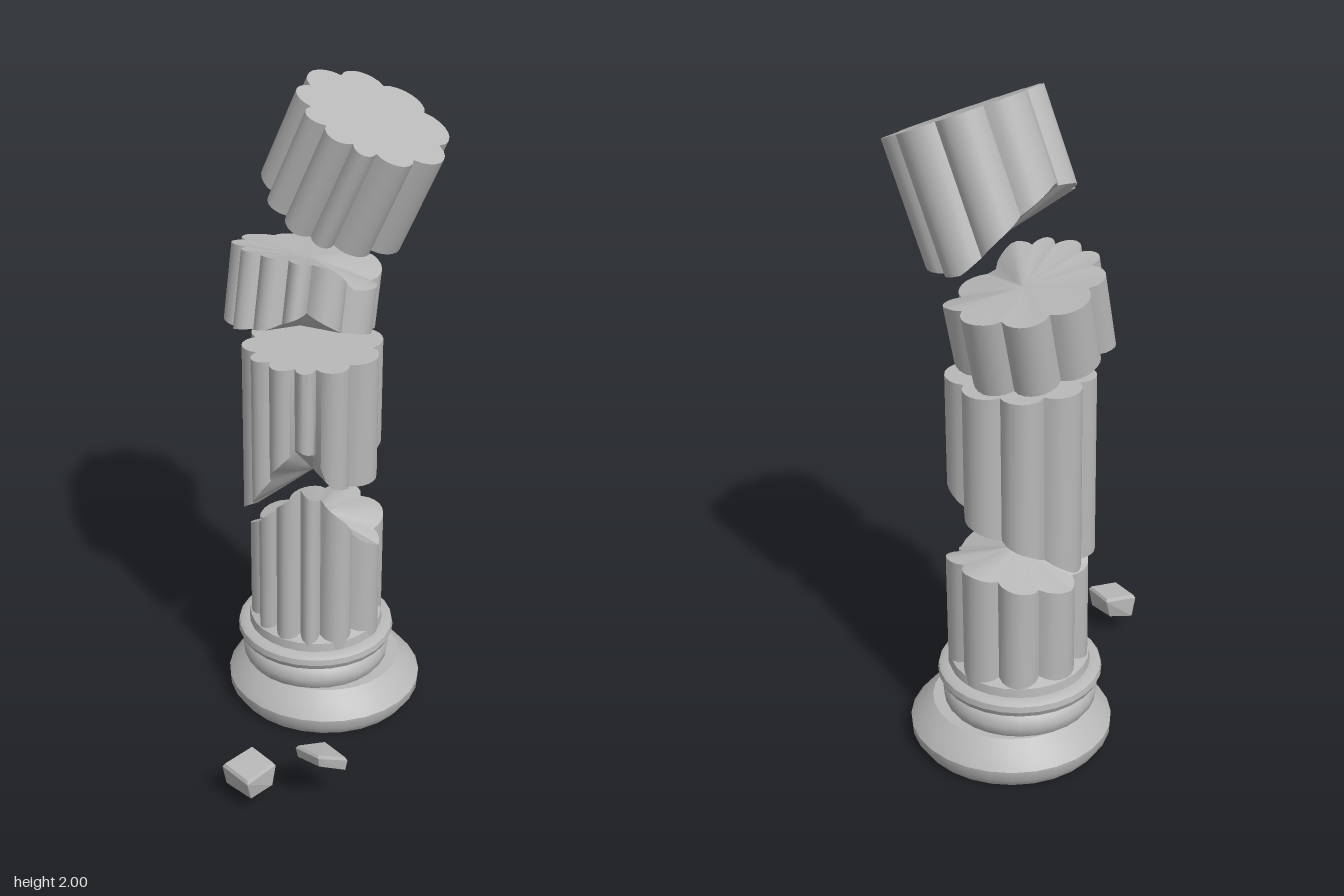
import * as THREE from 'three';
import { toCreasedNormals } from 'three/addons/utils/BufferGeometryUtils.js';
import { ConvexGeometry } from 'three/addons/geometries/ConvexGeometry.js';

// Grooves around the column in degrees; 0 is the front, 90 is +x
const GROOVES = [10, 30, 64, 109, 157, 200, 239, 284, 318, 343];
const PER_LOBE = 8, SEGS = GROOVES.length * PER_LOBE;

const stone = new THREE.MeshStandardMaterial({ color: 0xb8b8b8 });
stone.name = 'grey stone';

// Height around a rim from [degrees, height] keys
function rimHeight(keys, deg) {
  const last = keys[keys.length - 1];
  const loop = [[last[0] - 360, last[1]], ...keys, [keys[0][0] + 360, keys[0][1]]];
  for (let i = 0; i < loop.length - 1; i++) {
    const [a, ha] = loop[i], [b, hb] = loop[i + 1];
    if (deg >= a && deg <= b) return ha + (hb - ha) * (deg - a) / (b - a);
  }
  return keys[0][1];
}

// Scalloped drum whose lower and upper ends follow broken rims
function drum(name, radius, bottom, top) {
  const steps = [0, 0.35, 0.7, 1];
  const rows = [...steps.map(f => [f, bottom]), ...[...steps].reverse().map(f => [f, top])];
  const point = (row, i) => {
    const [f, end] = rows[row];
    const j = i % SEGS, lobe = Math.floor(j / PER_LOBE), t = (j % PER_LOBE) / PER_LOBE;
    const from = GROOVES[lobe], to = GROOVES[lobe + 1] ?? GROOVES[0] + 360;
    const deg = (from + (to - from) * t) % 360, a = THREE.MathUtils.degToRad(deg);
    const r = f * (radius - 0.034 * (1 - Math.pow(Math.sin(Math.PI * t), 0.75)));
    const y = THREE.MathUtils.lerp(end.centre, rimHeight(end.rim, deg), f);
    return [r * Math.sin(a), y, r * Math.cos(a)];
  };
  const pos = [];
  for (let k = 0; k < rows.length - 1; k++) {
    for (let i = 0; i < SEGS; i++) {
      const a = point(k, i), b = point(k, i + 1), c = point(k + 1, i + 1), d = point(k + 1, i);
      if (rows[k][0] > 0) pos.push(...a, ...b, ...c);
      if (rows[k + 1][0] > 0) pos.push(...a, ...c, ...d);
    }
  }
  const geo = new THREE.BufferGeometry();
  geo.setAttribute('position', new THREE.Float32BufferAttribute(pos, 3));
  const mesh = new THREE.Mesh(toCreasedNormals(geo, 0.6), stone);
  mesh.name = name;
  return mesh;
}

const flat = y => ({ centre: y, rim: [[0, y]] });

// Turned moulding from [radius, height] points
function turned(name, points, x, z) {
  const geo = new THREE.LatheGeometry(points.map(p => new THREE.Vector2(...p)), 28);
  const mesh = new THREE.Mesh(toCreasedNormals(geo, 0.6), stone);
  mesh.name = name;
  mesh.position.set(x, 0, z);
  return mesh;
}

// Loose chip: four upper corners, a slight crown and a narrower underside
function chip(name, corners, thickness, taper) {
  const mid = corners.reduce((s, c) => s.add(new THREE.Vector3(...c)), new THREE.Vector3()).divideScalar(4);
  const pts = [];
  for (const c of corners) {
    const p = new THREE.Vector3(...c);
    pts.push(p, p.clone().lerp(mid, 0.1).add(new THREE.Vector3(0, 0.01, 0)));
    const low = p.clone();
    low.x = THREE.MathUtils.lerp(p.x, mid.x, 0.08);
    low.z = THREE.MathUtils.lerp(p.z, mid.z, taper);
    low.y -= thickness;
    pts.push(low);
  }
  const mesh = new THREE.Mesh(new ConvexGeometry(pts), stone);
  mesh.name = name;
  return mesh;
}

export function createModel() {
  const group = new THREE.Group();
  group.name = 'brokenColumn';

  // Base mouldings; the collar ends in the round foot of the shaft
  const plinth = turned('plinth', [
    [0, 0], [0.28, 0], [0.301, 0.03], [0.303, 0.06], [0.275, 0.095], [0.235, 0.13], [0, 0.13],
  ], -0.027, -0.205);
  plinth.scale.z = 0.98;
  group.add(plinth);
  group.add(turned('collar', [
    [0.21, 0.12], [0.225, 0.14], [0.229, 0.165], [0.22, 0.19], [0.208, 0.2], [0.208, 0.21],
    [0.235, 0.213], [0.243, 0.23], [0.24, 0.248], [0.228, 0.256], [0.208, 0.258],
    [0.205, 0.285], [0.17, 0.3],
  ], -0.05, -0.19));

  // Standing shaft with a jagged top
  const shaft = drum('lowerShaft', 0.206, flat(0.25), {
    centre: 0.64,
    rim: [[12, 0.81], [30, 0.775], [50, 0.71], [68, 0.62], [92, 0.57], [135, 0.62], [180, 0.635],
      [225, 0.6], [270, 0.57], [300, 0.6], [328, 0.66], [350, 0.74]],
  });
  shaft.position.set(-0.045, 0, -0.192);

  // Second drum, deeply notched below
  const second = drum('secondDrum', 0.21, {
    centre: 0.78,
    rim: [[14, 0.95], [30, 0.93], [40, 0.83], [64, 0.8], [92, 0.8], [118, 0.865], [142, 0.855],
      [165, 0.8], [180, 0.79], [225, 0.73], [265, 0.64], [300, 0.65], [330, 0.73], [350, 0.85]],
  }, flat(1.2));
  second.position.set(-0.062, 0, -0.191);

  // Third drum, tipped backwards
  const third = drum('thirdDrum', 0.223, {
    centre: -0.12,
    rim: [[0, -0.1], [30, -0.04], [60, -0.09], [90, -0.1], [180, -0.125], [270, -0.1], [320, -0.13]],
  }, {
    centre: 0.085,
    rim: [[0, 0.105], [45, 0.095], [70, 0.03], [110, 0.04], [145, 0.09], [180, 0.105], [270, 0.105]],
  });
  third.position.set(-0.09, 1.38, -0.19);
  third.rotation.x = -0.23;

  // Top drum, toppling to the side
  const topDrum = drum('topDrum', 0.227, {
    centre: -0.34,
    rim: [[0, -0.31], [45, -0.305], [90, -0.31], [125, -0.35], [160, -0.385], [185, -0.39],
      [205, -0.355], [235, -0.3], [270, -0.245], [315, -0.285]],
  }, flat(0));
  topDrum.position.set(0.113, 1.91, -0.207);
  topDrum.rotation.z = -0.413;

  group.add(shaft, second, third, topDrum);

  // Loose chips in front
  group.add(chip('frontChip', [
    [0.03, 0.14, 0.363], [0.128, 0.137, 0.4], [0.09, 0.12, 0.5], [-0.014, 0.125, 0.463],
  ], 0.066, 0.35));
  group.add(chip('sideChip', [
    [0.225, 0.165, 0.276], [0.318, 0.165, 0.315], [0.272, 0.22, 0.41], [0.182, 0.205, 0.378],
  ], 0.033, 0.12));

  return group;
}
